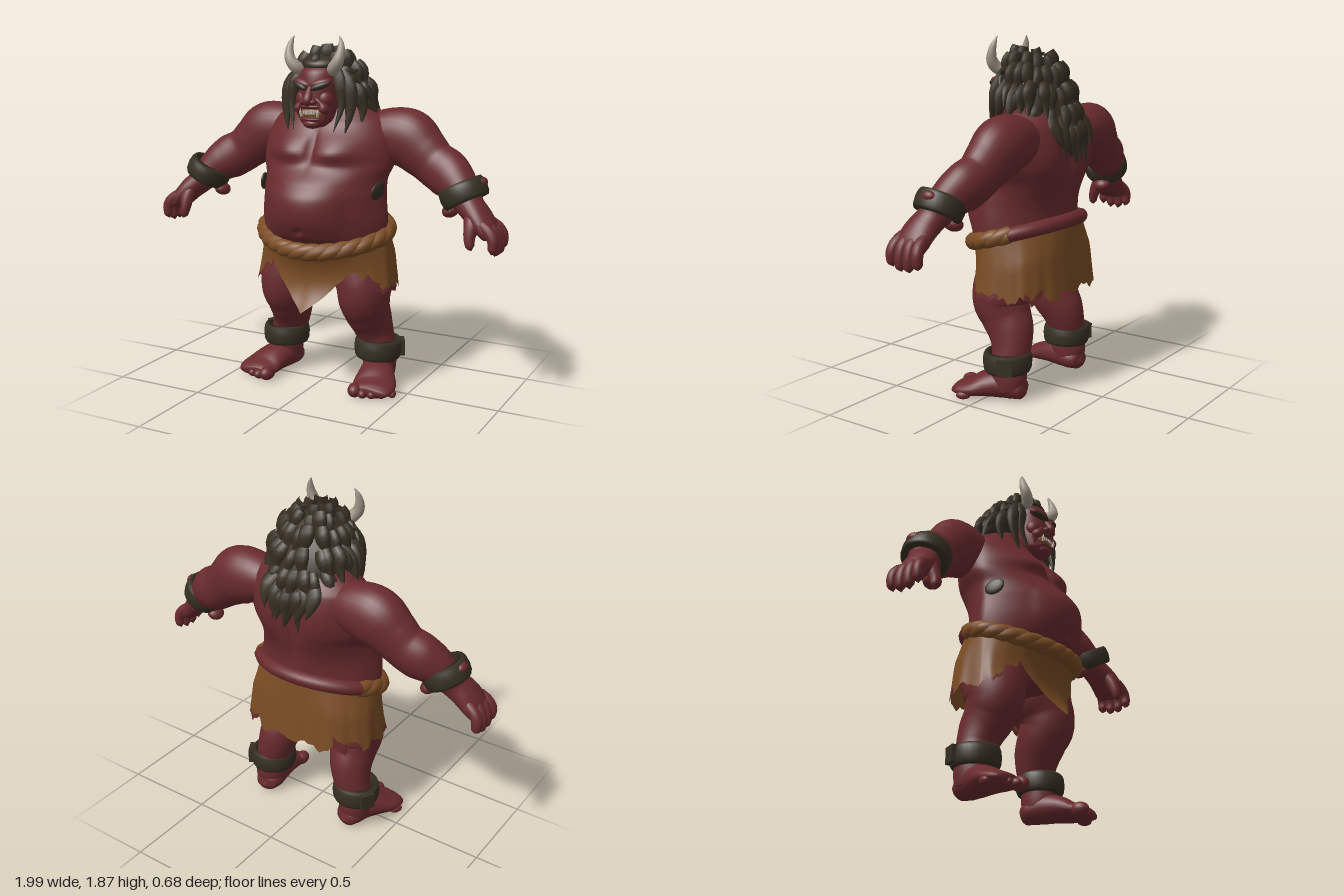
import * as THREE from 'three';

const mat = (name, color) => Object.assign(new THREE.MeshStandardMaterial({ color }), { name });
const bell = (d, w) => Math.exp(-((d / w) ** 2));

export function createModel() {
  const skin = mat('skin red', 0x692b2e), hair = mat('hair brown', 0x362e22), leather = mat('dark leather', 0x363023);
  const hide = mat('tan hide', 0x7a4c24), horn = mat('horn ivory', 0xa1978a), tooth = mat('tooth white', 0xb5ac9c);
  const gold = mat('mouth yellow', 0x87602f);
  hide.side = skin.side = THREE.DoubleSide;
  const root = new THREE.Group();
  root.name = 'hornedGiant';

  const add = (name, geo, m, pos = [0, 0, 0], rot = [0, 0, 0]) => {
    const mesh = new THREE.Mesh(geo, m);
    mesh.name = name;
    mesh.position.set(...pos);
    mesh.rotation.set(...rot);
    root.add(mesh);
    return mesh;
  };
  const blob = (name, m, pos, r, rot) => add(name, new THREE.SphereGeometry(1, 24, 16), m, pos, rot).scale.set(...r);

  // Smooth body through elliptical rings [x, y, z, width, depth]; s mirrors x,
  // level keeps the rings horizontal, shape moves each point by a rule
  const loft = (name, m, rings, { s = 1, n = 28, steps = 5, ref = [0, 0, 1], level = false, shape = () => {} } = {}) => {
    const path = new THREE.CatmullRomCurve3(rings.map(r => new THREE.Vector3(r[0] * s, r[1], r[2])));
    const size = new THREE.CatmullRomCurve3(rings.map(r => new THREE.Vector3(r[3], r[4], 0)));
    const rows = (rings.length - 1) * steps, pos = [], idx = [], up = new THREE.Vector3(...ref);
    for (let i = 0; i <= rows; i++) {
      const c = path.getPoint(i / rows), q = size.getPoint(i / rows);
      const t = level ? new THREE.Vector3(0, 1, 0) : path.getTangent(i / rows);
      const u = t.clone().cross(up).normalize(), v = u.clone().cross(t);
      for (let j = 0; j < n; j++) {
        const a = j / n * Math.PI * 2;
        const p = c.clone().addScaledVector(u, Math.max(q.x, 0.001) * Math.cos(a))
          .addScaledVector(v, Math.max(q.y, 0.001) * Math.sin(a));
        shape(p);
        pos.push(p.x, p.y, p.z);
        if (i < rows) {
          const A = i * n + j, B = i * n + (j + 1) % n;
          idx.push(A, A + n, B, B, A + n, B + n);
        }
      }
    }
    const g = new THREE.BufferGeometry();
    g.setAttribute('position', new THREE.Float32BufferAttribute(pos, 3));
    g.setIndex(idx);
    g.computeVertexNormals();
    return add(name, g, m);
  };

  // Torso: belly narrows to the front, chest and shoulder blades swell, spine is a groove
  const muscles = p => {
    const x = Math.abs(p.x);
    if (p.z > -.09) {
      const f = Math.min(1, (p.z + .09) / .12);
      if (p.z > 0) p.x *= 1 - .24 * Math.min(1, p.z / .2) * bell(p.y - .98, .24);
      p.z += f * .062 * bell(x - .14, .14) * bell(p.y - 1.285, p.y < 1.285 ? .055 : .1);
      p.z -= f * .025 * bell(x, .02) * bell(p.y - 1.3, .07);
      p.z -= f * .02 * bell(x, .02) * bell(p.y - .885, .015);
    } else {
      const f = Math.min(1, (-.09 - p.z) / .1);
      p.z -= f * .035 * bell(x - .17, .11) * bell(p.y - 1.28, .17);
      p.z += f * .022 * bell(x, .03) * bell(p.y - 1.2, .22);
    }
  };
  loft('torso', skin, [[0, .6, -.06, .001, .001], [0, .63, -.06, .25, .17], [0, .75, -.05, .33, .22], [0, .85, .0, .36, .27],
    [0, .95, .03, .365, .285], [0, 1.05, .025, .355, .29], [0, 1.13, -.01, .345, .275], [0, 1.22, -.06, .37, .235],
    [0, 1.35, -.095, .365, .2], [0, 1.43, -.11, .33, .18], [0, 1.5, -.11, .24, .14], [0, 1.55, -.07, .13, .1], [0, 1.6, -.05, .001, .001]],
    { n: 96, steps: 9, level: true, shape: muscles });

  for (const s of [1, -1]) {
    blob('ribPatch', leather, [s * .337, 1.09, .05], [.014, .045, .055], [s * .4, -s * .25, 0]);

    // Arm, palm, fingers, thumb
    loft('arm', skin, [[.18, 1.37, -.15, .09, .1], [.31, 1.36, -.15, .14, .125], [.42, 1.34, -.15, .158, .13], [.51, 1.275, -.14, .137, .115],
      [.58, 1.22, -.13, .122, .103], [.645, 1.185, -.115, .125, .105], [.7, 1.15, -.09, .112, .1], [.757, 1.1, -.06, .09, .088], [.81, 1.04, -.03, .07, .08],
      [.865, .99, -.01, .062, .09], [.91, .94, 0, .052, .095], [.935, .905, 0, .036, .085], [.945, .89, 0, .001, .001]], { s, steps: 6 });
    for (let i = 0; i < 4; i++) {
      const z = -.072 + i * .048, d = (i === 0 || i === 3) ? .018 : 0;
      loft('finger', skin, [[.9, .97, z * .9, .028, .026], [.945, .935, z, .031, .029], [.966, .88 + d, z * 1.08, .029, .028],
        [.965, .835 + d, z * 1.08, .025, .025], [.958, .81 + d, z * 1.05, .001, .001]], { s, n: 14, steps: 4 });
    }
    loft('thumb', skin, [[.83, 1.02, .02, .035, .035], [.845, .96, .055, .038, .036], [.845, .9, .078, .029, .029],
      [.852, .86, .085, .022, .022], [.86, .84, .085, .001, .001]], { s, n: 14, steps: 4 });

    // Leg and foot
    loft('leg', skin, [[.17, .82, -.05, .11, .13], [.18, .75, -.05, .16, .165], [.205, .65, -.045, .17, .175], [.23, .56, -.02, .148, .165],
      [.235, .5, -.015, .138, .155], [.235, .43, -.045, .126, .138], [.245, .36, -.08, .112, .128], [.262, .28, -.1, .1, .108], [.285, .2, -.1, .09, .095],
      [.29, .12, -.1, .09, .1], [.29, .05, -.11, .08, .08], [.29, .02, -.11, .001, .001]], { s });
    blob('knee', skin, [s * .25, .52, .055], [.095, .09, .078]);
    loft('foot', skin, [[.275, .05, -.205, .001, .001], [.278, .052, -.185, .055, .045], [.282, .065, -.14, .08, .064], [.295, .078, -.07, .088, .077],
      [.32, .07, .01, .102, .069], [.342, .05, .08, .116, .05], [.352, .04, .14, .11, .038], [.355, .033, .165, .09, .028], [.355, .03, .175, .001, .001]],
      { s, ref: [0, 1, 0] });
    for (let i = 0; i < 5; i++) {
      const r = i ? .033 - i * .002 : .042;
      blob('toe', skin, [s * (.268 + i * .044), r * .9, .163 - i * i * .005], [r * .9, r * .9, .05 - i * .003], [0, s * (.15 + i * .1), 0]);
    }

    // Wrist and ankle bands with clasps
    const band = (name, r, h, pos, axis) => {
      const prof = [[r - .035, -h], [r - .008, -h], [r, -h * .7], [r + .004, 0], [r, h * .7], [r - .008, h], [r - .035, h], [r - .035, -h]];
      const b = add(name, new THREE.LatheGeometry(prof.map(p => new THREE.Vector2(...p)), 32), leather, pos);
      b.quaternion.setFromUnitVectors(new THREE.Vector3(0, 1, 0), new THREE.Vector3(...axis).normalize());
    };
    band('wristBand', .122, .05, [s * .765, 1.1, -.05], [-s * .47, .88, -.08]);
    blob('wristClasp', skin, [s * .69, 1.0, -.07], [.045, .035, .05], [0, 0, s * .45]);
    blob('wristStud', skin, [s * .855, 1.16, -.06], [.028, .028, .04]);
    band('ankleBand', .126, .052, [s * .285, .205, -.09], [s * .03, 1, 0]);
    add('ankleClasp', new THREE.BoxGeometry(.035, .085, .08), leather, [s * .395, .205, -.15], [0, s * .5, 0]);

    // Horn
    loft('horn', horn, [[.085, 1.69, .07, .026, .026], [.108, 1.71, .1, .033, .033], [.136, 1.745, .11, .03, .03],
      [.148, 1.79, .102, .023, .023], [.144, 1.835, .09, .014, .014], [.13, 1.872, .08, .001, .001]], { s, n: 18 });

    // Face halves
    blob('browRidge', skin, [s * .052, 1.634, .138], [.06, .024, .03], [0, s * .3, s * .25]);
    blob('eyebrow', hair, [s * .06, 1.622, .155], [.054, .018, .02], [0, s * .4, s * .32]);
    blob('cheek', skin, [s * .058, 1.55, .105], [.046, .05, .043]);
    blob('nostril', skin, [s * .023, 1.54, .17], [.022, .016, .022]);
    loft('cheekFold', skin, [[.03, 1.555, .15, .01, .01], [.06, 1.53, .147, .013, .014], [.076, 1.485, .13, .013, .014],
      [.07, 1.445, .122, .004, .004]], { s, n: 12 });
    loft('tusk', tooth, [[.045, 1.465, .16, .008, .008], [.05, 1.485, .166, .007, .007], [.049, 1.505, .166, .001, .001]], { s, n: 10 });
  }

  // Head, nose, mouth
  loft('head', skin, [[0, 1.4, .1, .001, .001], [0, 1.41, .1, .05, .045], [0, 1.44, .085, .085, .08], [0, 1.5, .065, .1, .095],
    [0, 1.57, .055, .104, .105], [0, 1.63, .045, .108, .11], [0, 1.69, .03, .105, .11], [0, 1.73, 0, .085, .09], [0, 1.755, -.01, .001, .001]],
    { n: 36, level: true });
  loft('nose', skin, [[0, 1.63, .14, .012, .012], [0, 1.59, .163, .018, .018], [0, 1.55, .185, .026, .022], [0, 1.53, .18, .018, .016], [0, 1.522, .17, .001, .001]], { n: 16 });
  blob('chin', skin, [0, 1.427, .13], [.05, .027, .04]);
  blob('mouth', gold, [0, 1.482, .138], [.064, .028, .03]);
  blob('upperLip', skin, [0, 1.515, .143], [.062, .013, .03]);
  blob('lowerLip', skin, [0, 1.45, .142], [.058, .012, .03]);
  for (let i = 0; i < 5; i++) {
    const x = (i - 2) * .014;
    add('tooth', new THREE.BoxGeometry(.011, .018, .008), tooth, [x, 1.486, .167 - x * x * 4], [0, x * 5, 0]);
  }

  // Mane: core volume covered with rows of spiky locks
  const mane = [[0, 1.28, -.315, .001, .001], [0, 1.37, -.245, .1, .08], [0, 1.47, -.155, .185, .13], [0, 1.57, -.1, .2, .145],
    [0, 1.665, -.06, .165, .135], [0, 1.73, -.03, .115, .115], [0, 1.765, -.02, .06, .06], [0, 1.775, -.02, .001, .001]];
  loft('maneCore', hair, mane, { n: 36, level: true });
  blob('hairline', hair, [0, 1.735, .04], [.1, .04, .085], [.25, 0, 0]);
  let seed = 11;
  const rnd = () => (seed = (seed * 16807) % 2147483647) / 2147483647;
  const lock = (pts, w, s = 1) => loft('hairLock', hair, pts.map((p, i) => [...p, ...[[w * .8, w * .6], [w, w * .7], [w * .6, w * .4], [.001, .001]][i]]),
    { s, n: 8, steps: 3 });
  mane.slice(1, 7).forEach(([, y, cz, a, b], row) => {
    const count = [5, 9, 11, 11, 9, 5][row], arc = [.9, 1.4, 1.7, 1.8, 2.2, 2.6][row];
    for (let i = 0; i < count; i++) {
      const th = (i / (count - 1) * 2 - 1) * arc + (rnd() - .5) * .3, j = rnd(), twist = th + (rnd() - .5) * .5;
      const at = (k, dy, q = th) => [Math.sin(q) * a * k, y + dy + (j - .5) * .03, cz - Math.cos(q) * b * k];
      const flare = 1.2 + (row > 3 ? .08 : .04) + j * .2;
      lock([at(.85, .05), at(1.04, .01), at(1.13, -.05, (th + twist) / 2), at(flare, -.09 - j * .08, twist)], .03 + j * .016);
    }
  });
  // Crown tufts, side locks and nape locks
  for (const [x, z] of [[0, .06], [.05, .04], [-.045, .05], [.02, -.02], [-.03, -.05], [.06, -.03], [0, .1], [-.065, -.02]]) {
    lock([[x * .8, 1.72, z], [x, 1.755, z - .005], [x * 1.15, 1.775, z - .02], [x * 1.4, 1.8 - Math.abs(x) * .4, z - .05]], .025);
  }
  for (const s of [1, -1]) {
    lock([[.1, 1.7, .05], [.13, 1.63, .075], [.145, 1.52, .085], [.115, 1.385, .12]], .036, s);
    lock([[.11, 1.69, .03], [.165, 1.61, .05], [.185, 1.5, .065], [.165, 1.37, .09]], .05, s);
    lock([[.12, 1.67, -.02], [.195, 1.58, .0], [.225, 1.51, .0], [.225, 1.42, .02]], .05, s);
    lock([[.13, 1.64, -.07], [.2, 1.56, -.07], [.24, 1.5, -.08], [.27, 1.43, -.09]], .052, s);
    lock([[.14, 1.62, -.05], [.205, 1.6, -.04], [.24, 1.57, -.05], [.27, 1.52, -.06]], .04, s);
    lock([[.09, 1.69, .04], [.14, 1.69, .03], [.17, 1.69, .02], [.2, 1.7, .0]], .032, s);
    lock([[.1, 1.66, .03], [.15, 1.66, .03], [.185, 1.65, .02], [.215, 1.62, .0]], .034, s);
    lock([[.05, 1.46, -.25], [.075, 1.4, -.29], [.08, 1.34, -.32], [.06, 1.27, -.335]], .05, s);
    lock([[.1, 1.48, -.23], [.135, 1.42, -.275], [.14, 1.37, -.31], [.125, 1.31, -.335]], .05, s);
  }
  lock([[0, 1.44, -.26], [0, 1.37, -.3], [0, 1.3, -.32], [.01, 1.23, -.325]], .055);

  // Rope belt: twisted hide around the front, plain roll behind
  const narrow = (th, k) => 1 - k * Math.max(0, Math.cos(th));
  const belt = th => new THREE.Vector3(.355 * Math.sin(th) * narrow(th, .18), .85 - .075 * Math.cos(th),
    Math.cos(th) * (Math.cos(th) > 0 ? .25 : .275));
  const sweep = (name, m, th0, th1, r, off, phase) => {
    const pts = [];
    for (let i = 0; i <= 80; i++) {
      const th = th0 + (th1 - th0) * i / 80, p = belt(th), w = th * 8 + phase;
      const out = new THREE.Vector3(Math.sin(th), 0, Math.cos(th));
      pts.push(p.addScaledVector(out, Math.cos(w) * off).setY(p.y + Math.sin(w) * off));
    }
    add(name, new THREE.TubeGeometry(new THREE.CatmullRomCurve3(pts), 160, r, 12), m);
  };
  for (let k = 0; k < 3; k++) sweep('beltStrand', hide, -2.05, 2.05, .036, .011, k * Math.PI * 2 / 3);
  sweep('beltBack', skin, 2.0, Math.PI * 2 - 2.0, .039, 0, 0);

  // Ragged loincloth, squarer behind, with a pointed front flap and worn red hem
  const cols = 144, rows = 12, pos = [], idx = [], worn = [];
  for (let i = 0; i <= cols; i++) {
    const th = (i / cols * 2 - 1) * Math.PI, f = Math.abs(th), c = Math.cos(th), top = belt(th).y;
    const rag = .03 * Math.abs(((f * 2.3) % 1) * 2 - 1) + .012 * Math.sin(th * 17 + 1) + .008 * Math.sin(th * 41);
    const hem = f < .7 ? .445 + .215 * f / .7 + rag * .25 * f : Math.max(.66 - (f - .7) * .2, .55) + rag - .012;
    for (let j = 0; j <= rows; j++) {
      const y = top + (hem - top) * j / rows, t = (top - y) / .32, e = 1 - .28 * Math.min(1, t * 2);
      const z = c > 0 ? c * (.25 - .25 * t + .26 * t * t) : -((-c) ** e) * (.28 + .03 * t);
      const x = c > 0 ? Math.sin(th) * narrow(th, .18 * Math.max(0, 1 - t)) : Math.sign(th) * Math.abs(Math.sin(th)) ** e;
      const fold = 1 + .014 * t * Math.sin(th * 9) + .006 * t * Math.sin(th * 23);
      pos.push(x * (.36 + .035 * t) * fold, y, z * fold);
      if (i < cols && j < rows) {
        const A = i * (rows + 1) + j, B = A + rows + 1;
        const red = f > .6 && f < 2.6 && j >= rows - (Math.sin(th * 7) > .7 ? 2 : 1) && Math.sin(th * 5 + 1) > -.3;
        (red ? worn : idx).push(A, A + 1, B, B, A + 1, B + 1);
      }
    }
  }
  const cloth = new THREE.BufferGeometry();
  cloth.setAttribute('position', new THREE.Float32BufferAttribute(pos, 3));
  cloth.setIndex([...idx, ...worn]);
  cloth.addGroup(0, idx.length, 0);
  cloth.addGroup(idx.length, worn.length, 1);
  cloth.computeVertexNormals();
  add('loincloth', cloth, [hide, skin]);

  return root;
}
